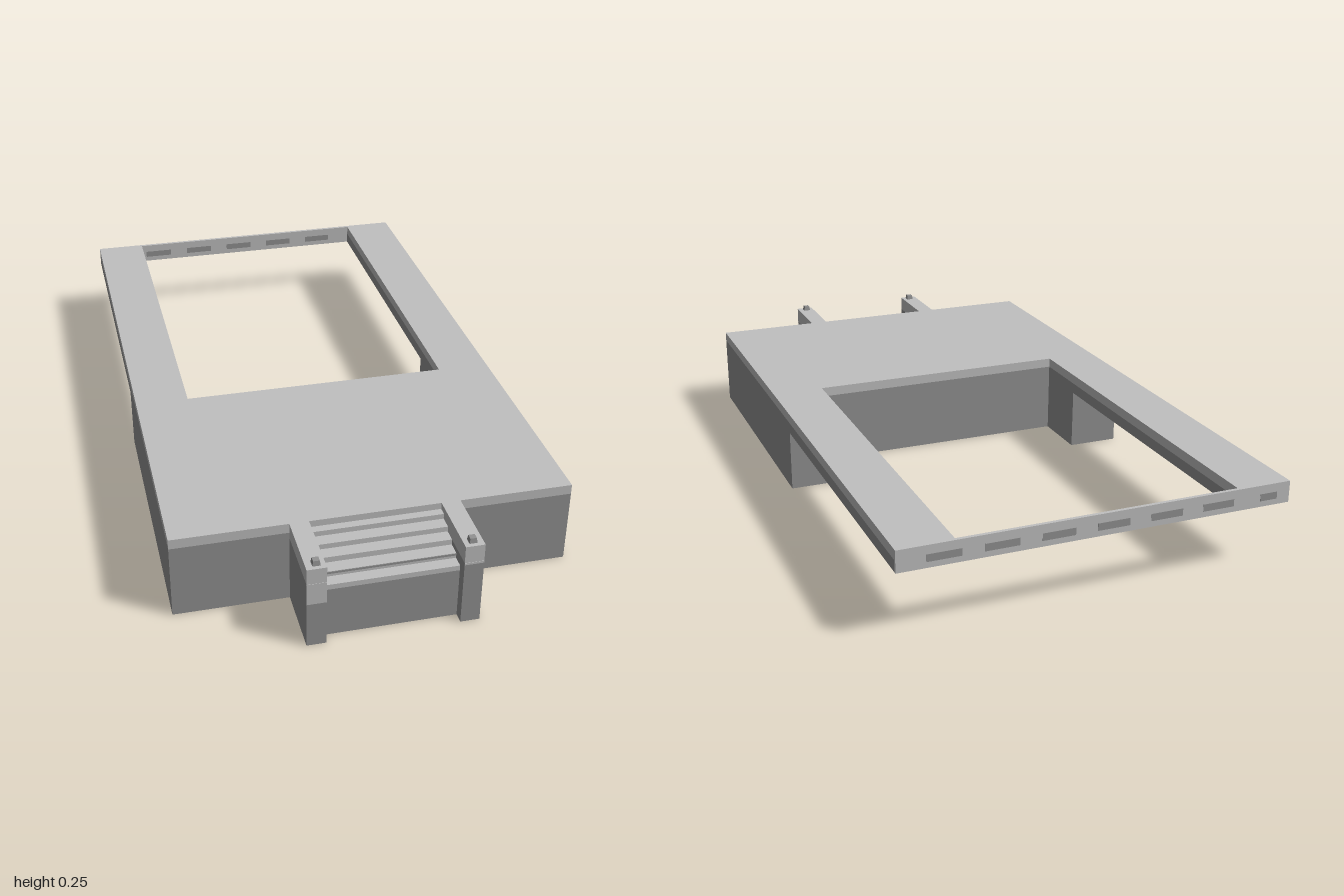
import * as THREE from 'three';

export function createModel() {
  const model = new THREE.Group();
  const light = new THREE.MeshStandardMaterial({ color: 0xc0c0c0 });
  light.name = 'light concrete';
  const dark = new THREE.MeshStandardMaterial({ color: 0x929292 });
  dark.name = 'dark concrete';

  const W = 0.543, HOLE = 0.39, FRONT = 0.805, COURT = 0.13;
  const BACK = -1, RIM = -0.99, LEG = -0.05;
  const TOP = 0.24, BAND = 0.212, SLAB = 0.18;

  const add = (name, geometry, material) => {
    const mesh = new THREE.Mesh(geometry, material);
    mesh.name = name;
    model.add(mesh);
    return mesh;
  };

  // Box given by its limits on each axis
  const box = (name, [x0, x1], [y0, y1], [z0, z1], material) => {
    const mesh = add(name, new THREE.BoxGeometry(x1 - x0, y1 - y0, z1 - z0), material);
    mesh.position.set((x0 + x1) / 2, (y0 + y1) / 2, (z0 + z1) / 2);
    return mesh;
  };

  // Plan outline of [x, z] points raised from y0 to y1
  const slab = (name, points, y0, y1, material, hole) => {
    const toVectors = (list) => list.map(([x, z]) => new THREE.Vector2(x, -z));
    const shape = new THREE.Shape(toVectors(points));
    if (hole) shape.holes.push(new THREE.Path(toVectors(hole)));
    const geometry = new THREE.ExtrudeGeometry(shape, { depth: y1 - y0, bevelEnabled: false });
    geometry.rotateX(-Math.PI / 2);
    geometry.translate(0, y0, 0);
    return add(name, geometry, material);
  };

  const rect = (x, z0, z1) => [[-x, z1], [x, z1], [x, z0], [-x, z0]];
  // U-shaped plan: full width in front, with two arms reaching back
  const uPlan = (z) => [
    [-W, FRONT], [W, FRONT], [W, z], [HOLE, z],
    [HOLE, COURT], [-HOLE, COURT], [-HOLE, z], [-W, z],
  ];

  // Deck with courtyard opening, its lower edge, and the base
  slab('deckTop', rect(W, BACK, FRONT), BAND, TOP, light, rect(HOLE, RIM, COURT));
  slab('deckLowerEdge', uPlan(RIM), SLAB, BAND, dark);
  slab('base', uPlan(LEG), 0, SLAB, dark);
  box('backRim', [-W, W], [SLAB, BAND], [BACK, RIM], light);

  // Dark dashes along both faces of the back rim
  for (let i = 0; i < 7; i++) {
    const x = 0.42 - i * 0.15;
    const half = i === 6 ? 0.025 : 0.045;
    box('rimDashOuter', [x - half, x + half], [0.196, 0.216], [BACK - 0.001, BACK + 0.001], dark);
    if (Math.abs(x) + half < HOLE) {
      box('rimDashInner', [x - half, x + half], [0.196, 0.216], [RIM - 0.001, RIM + 0.001], dark);
    }
  }

  // Stairs between the side walls
  const IN = 0.178, OUT = 0.23;
  box('stairBase', [-IN, IN], [0, 0.145], [FRONT, 0.97], dark);
  const treads = [[0.16, 0.97], [0.175, 0.937], [0.191, 0.9], [0.206, 0.864], [0.221, 0.828]];
  let below = 0.145;
  treads.forEach(([y, z]) => {
    box('step', [-IN, IN], [below, y], [FRONT, z], light);
    below = y;
  });
  // Shadow-gap strip on the second riser
  box('riserStrip', [-IN, IN], [0.168, 0.174], [0.936, 0.938], dark);

  // Stair side walls with pale caps and small finials
  for (const side of [-1, 1]) {
    const xs = side > 0 ? [IN, OUT] : [-OUT, -IN];
    const split = side > 0 ? 0.19 : 0.195;
    box('stairWall', xs, [0, split], [FRONT, 1], dark);
    box('stairWallCap', xs, [split, TOP], [FRONT, 1], light);
    const faceBottom = side > 0 ? 0.184 : 0.132;
    box('stairWallFace', xs, [faceBottom, split], [0.999, 1.001], light);

    const finial = new THREE.CylinderGeometry(0.012, 0.015, 0.014, 4);
    finial.rotateY(Math.PI / 4);
    const mesh = add('finial', finial.toNonIndexed(), dark);
    mesh.geometry.computeVertexNormals();
    mesh.position.set(side * 0.202, TOP + 0.007, 0.978);
  }

  return model;
}
